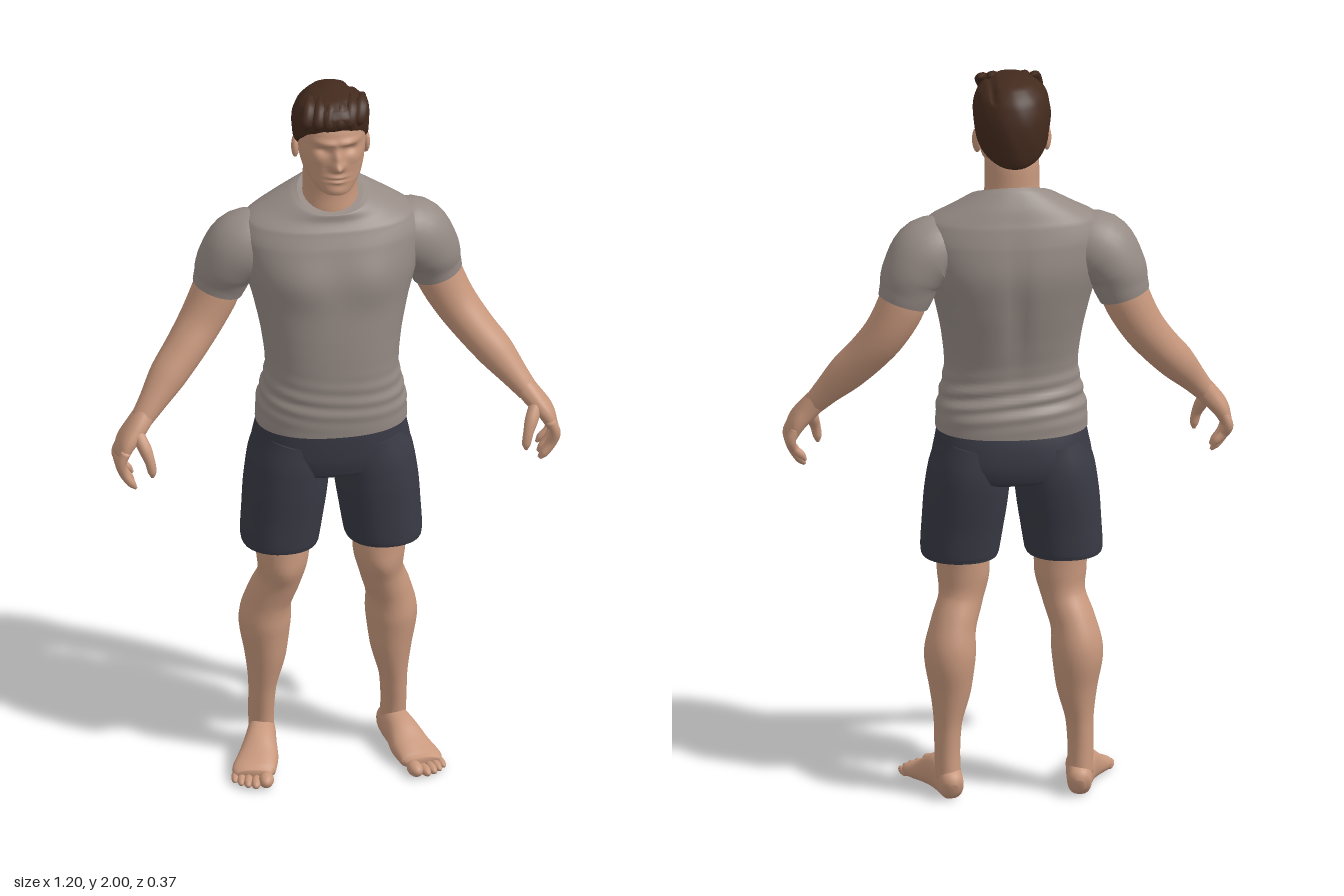
import * as THREE from 'three';

const mat = (name, color) => Object.assign(new THREE.MeshStandardMaterial({ color }), { name });
const Z = new THREE.Vector3(0, 0, 1), Y = new THREE.Vector3(0, 1, 0);
const bell = (x, y, x0, y0, sx, sy) => Math.exp(-(((x - x0) / sx) ** 2) - ((y - y0) / sy) ** 2);

// Smooth skin over oval sections. Key: [x, y, z, halfWidth, halfDepth, lift];
// lift raises the front of a section and lowers its back.
function loft(keys, { seg = 32, steps = 5, ref = Z, axis, p = 1, hem = false, move } = {}) {
  const path = new THREE.CatmullRomCurve3(keys.map(k => new THREE.Vector3(k[0], k[1], k[2])));
  const size = new THREE.CatmullRomCurve3(keys.map(k => new THREE.Vector3(k[3], k[4], k[5] || 0)));
  const pos = [], idx = [], n = (keys.length - 1) * steps;
  const pw = v => Math.sign(v) * Math.abs(v) ** p;
  for (let i = 0; i <= n; i++) {
    const c = path.getPoint(i / n), s = size.getPoint(i / n), T = axis || path.getTangent(i / n);
    const W = ref.clone().addScaledVector(T, -ref.dot(T)).normalize();
    const U = W.clone().cross(T);
    for (let j = 0; j < seg; j++) {
      const a = j / seg * Math.PI * 2, sn = Math.sin(a);
      const v = c.clone().addScaledVector(U, pw(Math.cos(a)) * s.x).addScaledVector(W, pw(sn) * s.y);
      v.y += s.z * sn;
      if (move) move(v, a);
      pos.push(v.x, v.y, v.z);
      if (i < n) {
        const q = i * seg + j, r = i * seg + (j + 1) % seg;
        idx.push(q, r, q + seg, r, r + seg, q + seg);
      }
    }
  }
  // End caps, with a sharp rim for cloth hems
  for (const end of [0, n]) {
    let base = end * seg;
    const ring = pos.slice(base * 3, (base + seg) * 3), mid = [0, 0, 0];
    ring.forEach((v, k) => { mid[k % 3] += v / seg; });
    if (hem) { base = pos.length / 3; pos.push(...ring); }
    const m = pos.length / 3;
    pos.push(...mid);
    for (let j = 0; j < seg; j++) {
      const q = base + j, r = base + (j + 1) % seg;
      end ? idx.push(q, r, m) : idx.push(r, q, m);
    }
  }
  const g = new THREE.BufferGeometry();
  g.setAttribute('position', new THREE.Float32BufferAttribute(pos, 3));
  g.setIndex(idx);
  g.computeVertexNormals();
  return g;
}

// Upright stack of sections. Key: [y, halfWidth, frontZ, backZ, lift]
const stack = (keys, opts) => loft(
  keys.map(([y, rx, f, b, l]) => [0, y, (f + b) / 2, rx, (f - b) / 2, l]), { axis: Y, ...opts });

function ball(x, y, z, rx, ry, rz, turn = 0) {
  return new THREE.SphereGeometry(1, 20, 14).scale(rx, ry, rz).rotateY(turn).translate(x, y, z);
}

function mirrored(geo) {
  const g = geo.clone().scale(-1, 1, 1), a = g.index.array;
  for (let i = 0; i < a.length; i += 3) [a[i], a[i + 1]] = [a[i + 1], a[i]];
  g.computeVertexNormals();
  return g;
}

export function createModel() {
  const root = new THREE.Group();
  root.name = 'standingMan';
  const skin = mat('skin', 0xc8987d), shirt = mat('shirtGrey', 0x968b85);
  const navy = mat('shortsNavy', 0x393a45), brown = mat('hairBrown', 0x432a1d);
  const add = (name, geo, m) => {
    const mesh = new THREE.Mesh(geo, m);
    mesh.name = name;
    root.add(mesh);
  };
  const pair = (name, geo, m) => {
    add(name + 'Left', geo, m);
    add(name + 'Right', mirrored(geo), m);
  };

  // Head with the face raised out of the front
  add('head', stack([
    [1.722, 0.025, 0.085, 0.03, -0.004], [1.738, 0.052, 0.103, -0.03, -0.012], [1.77, 0.076, 0.105, -0.08, -0.008],
    [1.80, 0.085, 0.105, -0.10, 0], [1.85, 0.09, 0.106, -0.11, 0], [1.90, 0.09, 0.104, -0.11, 0],
    [1.94, 0.082, 0.088, -0.105, 0], [1.97, 0.05, 0.05, -0.07, 0], [1.98, 0.01, 0, -0.02, 0],
  ], {
    seg: 96, steps: 10, p: 0.92, move: v => {
      if (v.z < 0.03) return;
      const x = Math.abs(v.x), y = v.y;
      v.z += 0.018 * bell(x, y, 0, 1.835, 0.012, 0.026) + 0.026 * bell(x, y, 0, 1.812, 0.016, 0.013)
        + 0.010 * bell(x, y, 0.028, 1.880, 0.035, 0.010) - 0.012 * bell(x, y, 0.036, 1.856, 0.018, 0.012)
        + 0.007 * bell(x, y, 0, 1.778, 0.024, 0.007) + 0.006 * bell(x, y, 0, 1.765, 0.020, 0.006)
        - 0.005 * bell(x, y, 0, 1.7715, 0.026, 0.003) + 0.004 * bell(x, y, 0, 1.738, 0.025, 0.012)
        + 0.004 * bell(x, y, 0.055, 1.825, 0.02, 0.018);
    },
  }), skin);
  pair('ear', ball(0.094, 1.822, -0.018, 0.011, 0.034, 0.02, 0.3), skin);
  add('neck', loft([
    [0, 1.58, -0.03, 0.085, 0.082], [0, 1.64, -0.025, 0.08, 0.08], [0, 1.70, -0.02, 0.073, 0.071],
    [0, 1.75, -0.018, 0.073, 0.072], [0, 1.80, -0.015, 0.07, 0.07],
  ], { axis: Y }), skin);

  // Hair: rippled cap, higher at the forehead, with swept locks in front
  add('hair', stack([
    [1.838, 0.086, 0.098, -0.098, 0.075], [1.846, 0.097, 0.107, -0.120, 0.075], [1.88, 0.102, 0.112, -0.134, 0.055],
    [1.92, 0.102, 0.112, -0.134, 0.032], [1.955, 0.090, 0.100, -0.118, 0.014],
    [1.983, 0.06, 0.068, -0.082, 0.004], [1.996, 0.015, 0.01, -0.03, 0],
  ], {
    seg: 72, steps: 6, move: (v, a) => {
      const k = 1 + 0.012 * Math.sin(11 * a + v.y * 45) * (Math.sin(a) > -0.3 ? 1 : 0.3);
      v.x *= k;
      v.z *= k;
      v.y -= 0.008 * bell(v.x, 0, 0.055, 0, 0.008, 1) * (v.y > 1.95 ? 1 : 0);
    },
  }), brown);
  for (let i = 0; i < 6; i++) {
    const x = -0.072 + i * 0.028, z = Math.sqrt(1 - (x / 0.12) ** 2);
    add('hairLock' + (i + 1), loft([
      [x - 0.012, 1.915 + 0.004 * (i % 2), 0.098 * z, 0.006, 0.005], [x - 0.006, 1.938, 0.102 * z, 0.017, 0.014],
      [x + 0.004, 1.966, 0.080 * z, 0.019, 0.014], [x + 0.012, 1.985, 0.03 * z, 0.008, 0.006],
    ], { seg: 14 }), brown);
  }

  // Shirt body, with chest, back furrow and folds at the waist
  add('shirtBody', stack([
    [1.018, 0.203, 0.140, -0.152, 0], [1.07, 0.201, 0.144, -0.152, 0], [1.12, 0.19, 0.143, -0.138, 0],
    [1.19, 0.178, 0.143, -0.131, 0], [1.28, 0.187, 0.143, -0.148, 0], [1.38, 0.208, 0.138, -0.170, 0],
    [1.48, 0.235, 0.130, -0.184, 0], [1.56, 0.245, 0.108, -0.174, 0], [1.61, 0.225, 0.088, -0.158, -0.005],
    [1.645, 0.165, 0.072, -0.137, -0.018], [1.675, 0.105, 0.068, -0.112, -0.028], [1.68, 0.088, 0.062, -0.102, -0.032],
  ], {
    seg: 72, steps: 8, p: 0.88, hem: true, move: v => {
      const x = Math.abs(v.x), y = v.y;
      if (v.z > 0.02) v.z += 0.012 * bell(x, y, 0.095, 1.47, 0.07, 0.07);
      else if (v.z < -0.05) v.z += 0.012 * bell(x, y, 0, 1.38, 0.025, 0.16);
      const fold = bell(0, y, 0, 1.12, 1, 0.055) * Math.sin(y * 150 + v.x * 16 + v.z * 20);
      v.z -= fold * (v.z < 0 ? 0.005 : -0.002);
      v.x *= 1 + 0.012 * fold;
    },
  }), shirt);
  pair('sleeve', loft([
    [0.15, 1.53, -0.045, 0.08, 0.08], [0.225, 1.52, -0.05, 0.098, 0.096], [0.272, 1.465, -0.06, 0.083, 0.09],
    [0.287, 1.42, -0.065, 0.074, 0.076], [0.296, 1.392, -0.066, 0.069, 0.07],
  ], { hem: true }), shirt);

  // Shorts
  add('shortsSeat', stack([
    [1.035, 0.196, 0.130, -0.144, 0], [0.99, 0.204, 0.130, -0.154, 0], [0.94, 0.213, 0.127, -0.157, 0],
    [0.89, 0.20, 0.115, -0.145, 0], [0.865, 0.12, 0.06, -0.08, 0],
  ].reverse(), { p: 0.85, seg: 48 }), navy);
  pair('shortsLeg', loft([
    [0.10, 0.98, -0.012, 0.094, 0.13], [0.113, 0.90, -0.013, 0.109, 0.137], [0.122, 0.83, -0.01, 0.111, 0.132],
    [0.131, 0.75, -0.007, 0.108, 0.122], [0.139, 0.675, -0.005, 0.104, 0.115], [0.139, 0.663, -0.005, 0.101, 0.112],
  ], { p: 0.9, hem: true }), navy);

  // Legs
  pair('lowerLeg', loft([
    [0.135, 0.72, -0.015, 0.072, 0.08], [0.130, 0.61, -0.012, 0.070, 0.077], [0.138, 0.54, -0.022, 0.059, 0.071],
    [0.160, 0.47, -0.045, 0.061, 0.078], [0.170, 0.40, -0.058, 0.069, 0.086], [0.169, 0.30, -0.057, 0.056, 0.072],
    [0.176, 0.20, -0.060, 0.037, 0.055], [0.178, 0.12, -0.067, 0.034, 0.048], [0.176, 0.05, -0.075, 0.034, 0.046],
  ], {
    move: v => {
      v.z += (v.z > -0.02 ? 0.010 : 0) * bell(v.x, v.y, 0.132, 0.575, 0.04, 0.035);
    },
  }), skin);
  const flat = v => { v.y = Math.max(v.y, 0.003); };
  pair('foot', loft([
    [0.168, 0.032, -0.130, 0.012, 0.018], [0.170, 0.038, -0.115, 0.031, 0.038], [0.177, 0.050, -0.065, 0.037, 0.052],
    [0.190, 0.050, -0.005, 0.043, 0.050], [0.205, 0.035, 0.050, 0.054, 0.036], [0.225, 0.022, 0.100, 0.058, 0.024],
    [0.229, 0.018, 0.125, 0.045, 0.017],
  ], { ref: Y, p: 0.9, move: flat }), skin);
  [[0.200, 0.155, 0.020], [0.227, 0.153, 0.0135], [0.246, 0.142, 0.0125], [0.262, 0.127, 0.0115], [0.276, 0.108, 0.011]]
    .forEach(([x, z, r], i) => pair('toe' + (i + 1), ball(x, r + 0.001, z, r, r, 0.032, 0.2), skin));

  // Arms
  pair('arm', loft([
    [0.282, 1.45, -0.064, 0.058, 0.06], [0.300, 1.385, -0.066, 0.064, 0.065], [0.340, 1.305, -0.056, 0.059, 0.064],
    [0.388, 1.237, -0.030, 0.054, 0.062], [0.440, 1.175, 0.002, 0.050, 0.054], [0.488, 1.115, 0.035, 0.037, 0.040],
    [0.522, 1.072, 0.055, 0.029, 0.034],
  ]), skin);
  pair('palm', loft([
    [0.505, 1.095, 0.045, 0.028, 0.032], [0.535, 1.058, 0.061, 0.028, 0.042], [0.565, 1.020, 0.072, 0.024, 0.050],
    [0.580, 0.985, 0.078, 0.017, 0.048],
  ], { p: 0.85 }), skin);
  for (let i = 0; i < 4; i++) {
    const z = 0.037 + i * 0.027, d = [0.025, 0.008, 0, 0.008][i], lean = 0.012 - i * 0.006;
    pair('finger' + (i + 1), loft([
      [0.572, 1.01, z, 0.013, 0.013], [0.585, 0.975, z, 0.0135, 0.014], [0.576, 0.938 + d / 2, z + lean, 0.012, 0.013],
      [0.556, 0.906 + d, z + lean, 0.011, 0.011], [0.544, 0.891 + d, z + lean, 0.004, 0.005],
    ], { seg: 14 }), skin);
  }
  pair('thumb', loft([
    [0.540, 1.055, 0.085, 0.018, 0.018], [0.522, 1.018, 0.112, 0.018, 0.019], [0.510, 0.985, 0.128, 0.014, 0.014],
    [0.504, 0.955, 0.132, 0.012, 0.012], [0.503, 0.938, 0.132, 0.004, 0.005],
  ], { seg: 14 }), skin);

  return root;
}
